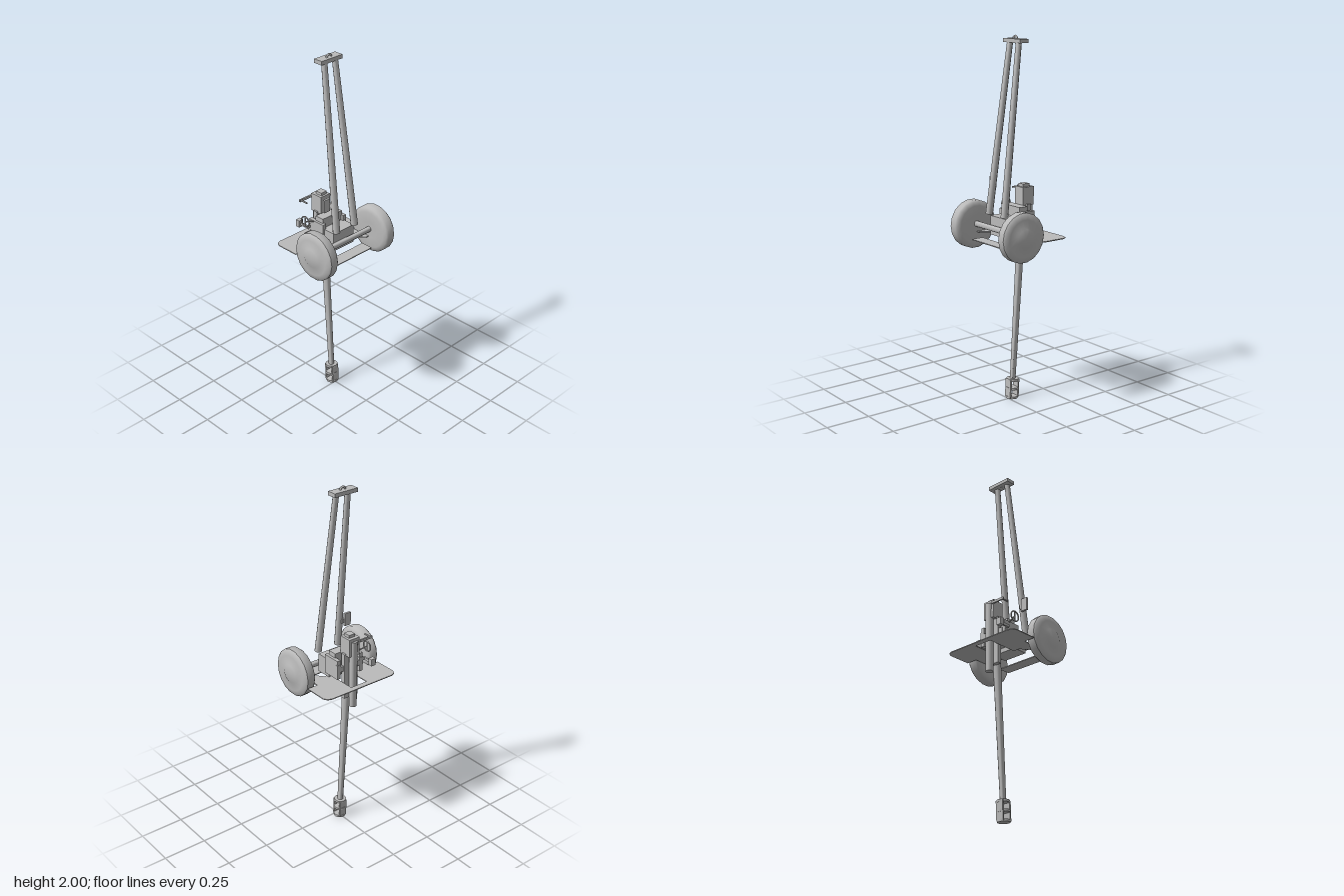
import * as THREE from 'three';
import { toCreasedNormals } from 'three/addons/utils/BufferGeometryUtils.js';

export function createModel() {
  const model = new THREE.Group();
  const grey = new THREE.MeshStandardMaterial({ color: 0xbbbbbb });
  grey.name = 'grey';

  function add(name, geometry) {
    const mesh = new THREE.Mesh(geometry, grey);
    mesh.name = name;
    model.add(mesh);
    return mesh;
  }
  // Box given by its lower and upper corners
  function box(name, x0, x1, y0, y1, z0, z1) {
    const m = add(name, new THREE.BoxGeometry(x1 - x0, y1 - y0, z1 - z0));
    m.position.set((x0 + x1) / 2, (y0 + y1) / 2, (z0 + z1) / 2);
    return m;
  }
  // Tapered rod between two points
  function rod(name, a, b, ra, rb, sides = 12) {
    const p = new THREE.Vector3(...a), q = new THREE.Vector3(...b);
    const g = new THREE.CylinderGeometry(rb, ra, p.distanceTo(q), sides);
    const m = add(name, toCreasedNormals(g, 0.9));
    m.position.copy(p).lerp(q, 0.5);
    m.quaternion.setFromUnitVectors(new THREE.Vector3(0, 1, 0), q.sub(p).normalize());
    return m;
  }

  // Wheels: tyre with a slightly bulging hub, spun around the axle
  const profile = [
    [0, -0.034], [0.05, -0.034], [0.105, -0.036], [0.126, -0.03], [0.134, -0.02],
    [0.134, 0.022], [0.126, 0.03], [0.1, 0.036], [0.062, 0.037], [0.05, 0.043], [0, 0.043],
  ].map(([r, h]) => new THREE.Vector2(r, h));
  const wheelGeometry = toCreasedNormals(new THREE.LatheGeometry(profile, 18), 0.75);
  for (const side of [-1, 1]) {
    const wheel = add('wheel', wheelGeometry);
    wheel.rotation.z = -side * Math.PI / 2;
    wheel.position.set(side * 0.214, 0.973, 0.08);
  }
  rod('axle', [-0.19, 0.977, 0.08], [0.19, 0.977, 0.08], 0.016, 0.016);

  // Main shield, drawn as (x, z) outline and laid flat
  const half = [[0.053, -0.187], [0.053, -0.005], [0.09, -0.005], [0.157, 0.08],
    [0.176, 0.08], [0.176, -0.056], [0.24, -0.056], [0.24, -0.187], [0.228, -0.209], [0.203, -0.218]];
  const outline = [...half, ...half.slice().reverse().map(([x, z]) => [-x, z])];
  const shieldShape = new THREE.Shape(outline.map(([x, z]) => new THREE.Vector2(x, z)));
  const shield = add('shield',
    new THREE.ExtrudeGeometry(shieldShape, { depth: 0.005, bevelEnabled: false }));
  shield.rotation.x = Math.PI / 2;
  shield.position.y = 0.936;
  box('lowerShield', -0.128, 0.128, 0.905, 0.91, 0.08, 0.15);

  // Carriage
  box('lowerCarriage', -0.075, 0.075, 0.935, 1.04, -0.025, 0.065);
  box('saddle', -0.073, 0.071, 0.96, 1.095, -0.075, -0.02);
  for (const s of [-1, 1]) {
    const x = s * 0.075;
    box('cheek', x - 0.011, x + 0.011, 0.96, 1.07, -0.112, -0.005);
    box('cheekCap', x - 0.013, x + 0.013, 1.0, 1.045, -0.114, -0.1);
  }
  box('trunnion', -0.07, 0.07, 1.0, 1.03, -0.115, -0.095);

  // Trails joined by a crossbar with a towing ring
  for (const s of [-1, 1]) {
    rod('trail', [s * 0.067, 1.05, 0.078], [s * 0.037, 1.965, -0.04], 0.02, 0.016, 10);
  }
  box('trailCrossbar', -0.073, 0.073, 1.96, 1.981, -0.075, -0.021);
  const ring = add('towingRing', new THREE.TorusGeometry(0.016, 0.006, 6, 16));
  ring.position.set(0, 1.978, -0.045);

  // Barrel
  rod('barrel', [0, 0.105, -0.03], [0, 1.12, -0.097], 0.016, 0.024, 14);

  // Muzzle brake: three rings bridged by plates, leaving open side ports
  const brake = new THREE.Group();
  brake.name = 'muzzleBrake';
  for (const y of [0.007, 0.058, 0.108]) {
    const disc = new THREE.Mesh(new THREE.CylinderGeometry(0.034, 0.034, 0.013, 14), grey);
    disc.geometry = toCreasedNormals(disc.geometry, 0.9);
    disc.name = 'brakeRing';
    disc.position.y = y;
    brake.add(disc);
  }
  for (const s of [-1, 1]) {
    const plate = new THREE.Mesh(new THREE.BoxGeometry(0.046, 0.105, 0.009), grey);
    plate.name = 'brakePlate';
    plate.position.set(0, 0.058, s * 0.026);
    brake.add(plate);
  }
  brake.position.z = -0.024;
  brake.rotation.x = -0.05;
  model.add(brake);

  // Cradle, recoil cylinder and breech
  box('cradle', -0.045, 0.045, 0.833, 1.1, -0.12, -0.095);
  rod('recoilCylinder', [0, 0.785, -0.137], [0, 1.175, -0.14], 0.021, 0.022, 14);
  box('breech', -0.035, 0.034, 1.09, 1.192, -0.147, -0.073);
  box('breechBlock', -0.02, 0.02, 1.19, 1.208, -0.127, -0.085);

  // Breech lever with a handle on its end
  box('breechLever', -0.115, -0.03, 1.165, 1.178, -0.158, -0.149);
  rod('leverHandle', [-0.104, 1.171, -0.152], [-0.104, 1.171, -0.107], 0.005, 0.005, 8);

  // Sight, its bracket and the aiming handwheel
  box('sight', -0.12, -0.091, 1.01, 1.05, -0.18, -0.155);
  box('sightBracket', -0.108, -0.098, 1.02, 1.035, -0.156, -0.107);
  box('sightArm', -0.108, -0.07, 1.02, 1.035, -0.112, -0.1);
  const handwheel = add('handwheel', new THREE.TorusGeometry(0.029, 0.004, 6, 16));
  handwheel.rotation.y = Math.PI / 2;
  handwheel.position.set(-0.136, 1.08, -0.088);
  box('handwheelSpoke', -0.138, -0.134, 1.053, 1.107, -0.091, -0.085);
  rod('handwheelShaft', [-0.136, 1.08, -0.088], [-0.06, 1.06, -0.07], 0.004, 0.004, 8);

  // Small plate carried on the right trail
  box('trailPlate', -0.117, -0.076, 1.172, 1.245, 0.028, 0.04);
  box('trailPlateMount', -0.08, -0.06, 1.19, 1.215, 0.034, 0.06);

  return model;
}
